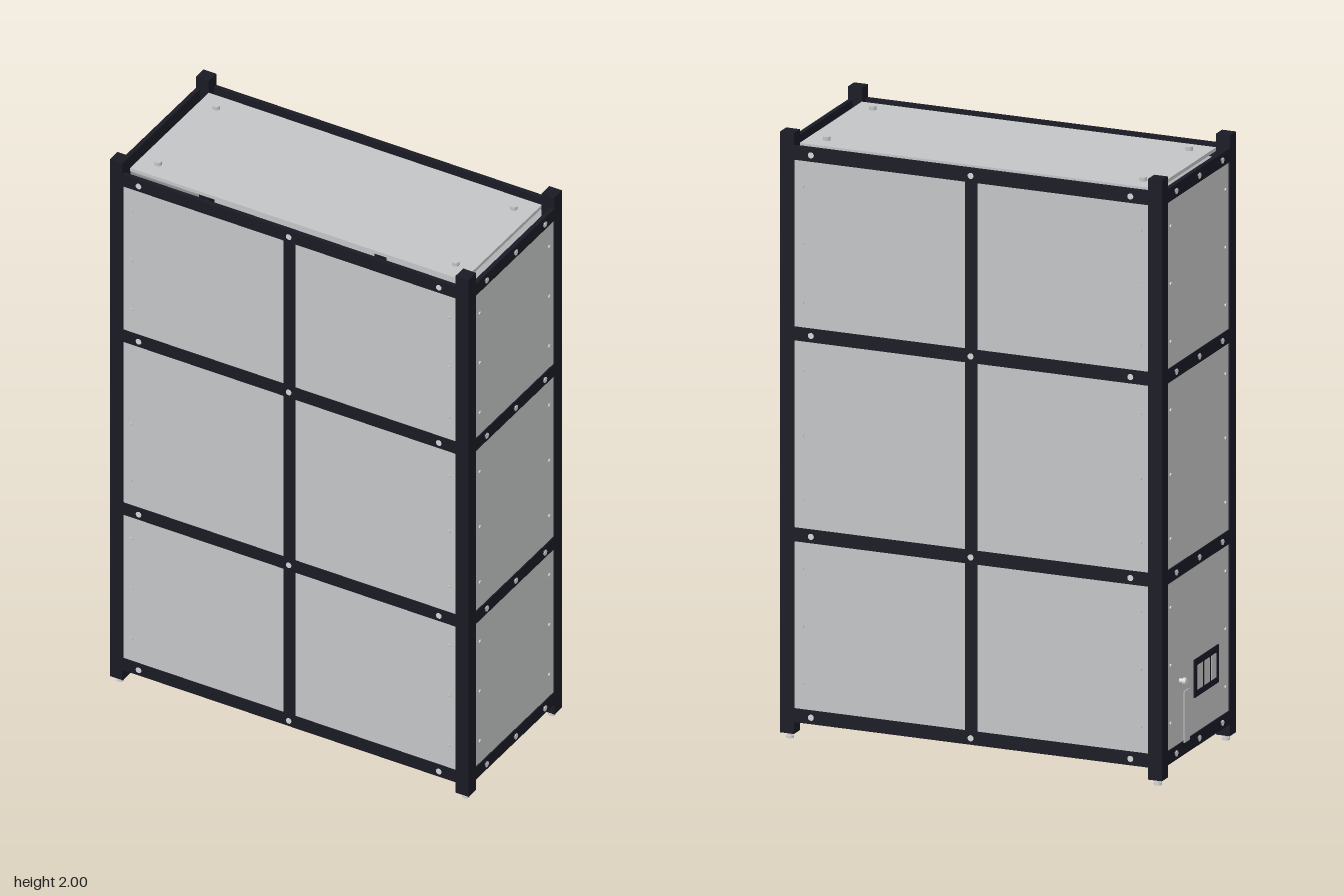
import * as THREE from 'three';

const mat = (name, hex) => {
  const m = new THREE.MeshStandardMaterial({ color: hex });
  m.name = name;
  return m;
};

export function createModel() {
  const root = new THREE.Group();
  root.name = 'panelledCabinet';
  const frameMat = mat('dark frame', 0x191a24);
  const panelMat = mat('grey panel', 0xc3c4c5);
  const steelMat = mat('light steel', 0xd2d4d6);

  // The frame is centred slightly off x = 0 because of the knob on one side
  const cabinet = new THREE.Group();
  cabinet.name = 'cabinet';
  cabinet.position.x = 0.009;
  root.add(cabinet);

  const box = (name, w, h, d, x, y, z, m) => {
    const mesh = new THREE.Mesh(new THREE.BoxGeometry(w, h, d), m);
    mesh.name = name;
    mesh.position.set(x, y, z);
    cabinet.add(mesh);
  };
  // Short cylinder whose axis follows 'x', 'y' or 'z'
  const disc = (name, r, len, axis, x, y, z, m, sides = 16) => {
    const mesh = new THREE.Mesh(new THREE.CylinderGeometry(r, r, len, sides), m);
    mesh.name = name;
    if (axis === 'x') mesh.rotation.z = Math.PI / 2;
    if (axis === 'z') mesh.rotation.x = Math.PI / 2;
    mesh.position.set(x, y, z);
    cabinet.add(mesh);
  };

  const X = 0.657, Z = 0.289;        // outer half sizes of the frame
  const P = 0.047, T = 0.015;        // post width and rail thickness
  const IX = X - P, IZ = Z - P;      // half sizes between the posts
  const railY = [0.082, 0.678, 1.34, 1.935];
  const railH = 0.045;

  // Corner posts with levelling feet
  for (const sx of [-1, 1]) for (const sz of [-1, 1]) {
    const x = sx * (X - P / 2), z = sz * (Z - P / 2);
    box('cornerPost', P, 1.98, P, x, 1.01, z, frameMat);
    disc('footStud', 0.008, 0.016, 'y', x, 0.014, z, steelMat);
    disc('footPad', 0.012, 0.008, 'y', x, 0.004, z, steelMat);
  }

  // Rails, mullions and their bolts
  for (const s of [-1, 1]) {
    for (const y of railY) {
      box('longRail', 2 * IX, railH, T, 0, y, s * (Z - T / 2), frameMat);
      box('sideRail', T, railH, 2 * IZ, s * (X - T / 2), y, 0, frameMat);
      for (const k of [-1, 0, 1]) {
        disc('boltWasher', 0.011, 0.003, 'z', k * 0.55, y, s * (Z + 0.001), frameMat);
        disc('boltHead', 0.01, 0.003, 'z', k * 0.55, y, s * (Z + 0.003), steelMat);
        disc('boltWasher', 0.011, 0.003, 'x', s * (X + 0.001), y, k * 0.18, frameMat);
        disc('boltHead', 0.01, 0.003, 'x', s * (X + 0.003), y, k * 0.18, steelMat);
      }
    }
    for (let i = 0; i < 3; i++) {
      const lo = railY[i] + railH / 2, hi = railY[i + 1] - railH / 2;
      box('mullion', 0.042, hi - lo, T, 0, (lo + hi) / 2, s * (Z - T / 2), frameMat);
    }
  }

  // Thin wall panels held within the depth of the rails
  const recess = 0.004, t = 0.008;
  const wallH = railY[3] - railY[0], wallY = (railY[3] + railY[0]) / 2;
  for (const s of [-1, 1]) {
    box('longPanel', 2 * IX, wallH, t, 0, wallY, s * (Z - recess - t / 2), panelMat);
    box('sidePanel', t, wallH, 2 * IZ, s * (X - recess - t / 2), wallY, 0, panelMat);
  }

  // Top and bottom plates, leaving an open gap inside the rails
  const topY = 1.955, lowY = 0.062, plate = 0.012;
  box('topPanel', 2 * IX, plate, 2 * IZ + 0.002, 0, topY - plate / 2, 0, panelMat);
  box('bottomPanel', 2 * IX, plate, 2 * IZ + 0.002, 0, lowY + plate / 2, 0, panelMat);

  // Screws along the panel edges, three to each bay
  for (let i = 0; i < 3; i++) for (const f of [0.18, 0.5, 0.82]) {
    const y = railY[i] + (railY[i + 1] - railY[i]) * f;
    for (const s of [-1, 1]) for (const e of [-1, 1]) {
      disc('panelScrew', 0.006, 0.006, 'z', e * (IX - 0.028), y, s * (Z - recess + 0.002), panelMat, 10);
      disc('panelScrew', 0.006, 0.006, 'x', s * (X - recess + 0.002), y, e * (IZ - 0.028), panelMat, 10);
    }
  }

  // Bolts on the top panel
  for (const sx of [-1, 1]) for (const sz of [-1, 1])
    disc('topBolt', 0.012, 0.014, 'y', sx * 0.545, topY + 0.006, sz * 0.18, panelMat);

  // Socket plate with three light inserts on the -x side
  const wall = -X + recess;
  box('socketFrame', 0.004, 0.125, 0.19, wall - 0.002, 0.285, 0.063, frameMat);
  for (const k of [-1, 0, 1])
    box('socketInsert', 0.002, 0.08, 0.04, wall - 0.0045, 0.285, 0.063 + k * 0.052, panelMat);

  // Knob on a stem with a thin hanging strip
  disc('knobStem', 0.008, 0.024, 'x', wall - 0.012, 0.31, -0.14, steelMat);
  disc('knob', 0.012, 0.01, 'x', wall - 0.018, 0.31, -0.14, steelMat);
  box('hangingStrip', 0.003, 0.17, 0.044, wall - 0.024, 0.198, -0.14, panelMat);

  return root;
}
